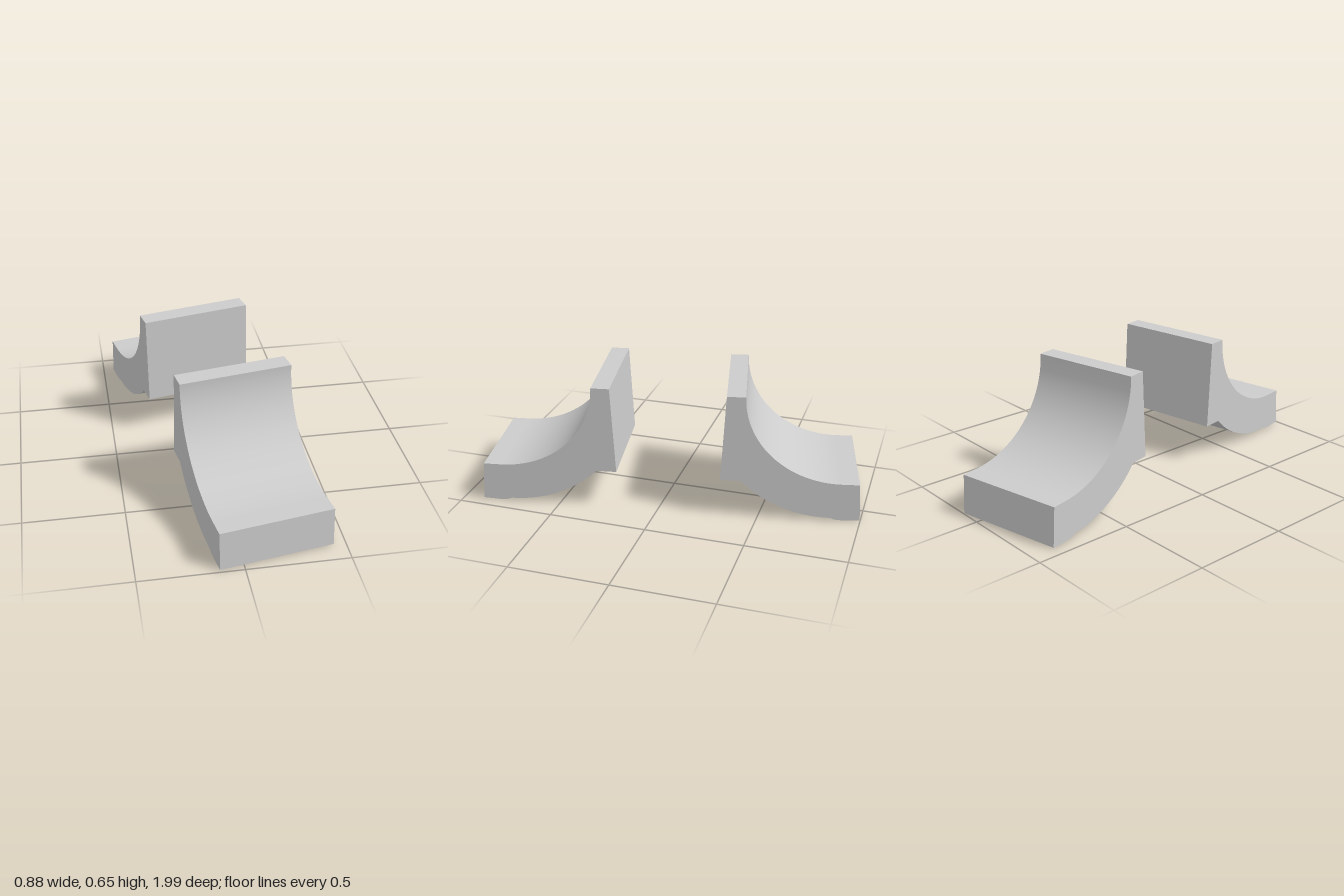
import * as THREE from 'three';
import { toCreasedNormals } from 'three/addons/utils/BufferGeometryUtils.js';

const WIDTH = 0.563;

// Side profile of a curved bracket: x runs outward from the upright wall
function bracketProfile() {
  const s = new THREE.Shape();
  s.moveTo(0, 0.2);
  s.lineTo(0.1, 0.2);
  // convex underside sweeping down to the foot
  const cx = 0.55, r = 0.628, cy = 0.012 + r;
  const start = Math.atan2(0.2 - cy, 0.1 - cx);
  s.absarc(cx, cy, r, start, -Math.PI / 2, false);
  // shallow lip under the foot
  s.lineTo(0.575, 0.003);
  s.lineTo(0.62, 0);
  s.lineTo(0.7, 0.004);
  // end face and flat ledge
  s.lineTo(0.687, 0.202);
  s.lineTo(0.6, 0.202);
  // concave upper sweep
  s.absellipse(0.6, 0.65, 0.483, 0.448, -Math.PI / 2, -Math.PI, true, 0);
  s.lineTo(0.025, 0.65);
  s.closePath();
  return s;
}

export function createModel() {
  const model = new THREE.Group();
  model.name = 'curvedBracketPair';
  const material = new THREE.MeshStandardMaterial({ color: 0xcccccc });

  const extruded = new THREE.ExtrudeGeometry(bracketProfile(), {
    depth: WIDTH, bevelEnabled: false, curveSegments: 28,
  });
  extruded.translate(0, 0, -WIDTH / 2);
  const geometry = toCreasedNormals(extruded, Math.PI / 7);

  // Two brackets back to back, each turned slightly off axis
  const placements = [
    ['frontBracket', 0.0475, 0.252, -Math.PI / 2 + 0.165],
    ['backBracket', -0.02, -0.255, Math.PI / 2 + 0.2115],
  ];
  for (const [name, x, z, turn] of placements) {
    const bracket = new THREE.Mesh(geometry, material);
    bracket.name = name;
    bracket.position.set(x, 0, z);
    bracket.rotation.y = turn;
    model.add(bracket);
  }
  return model;
}
